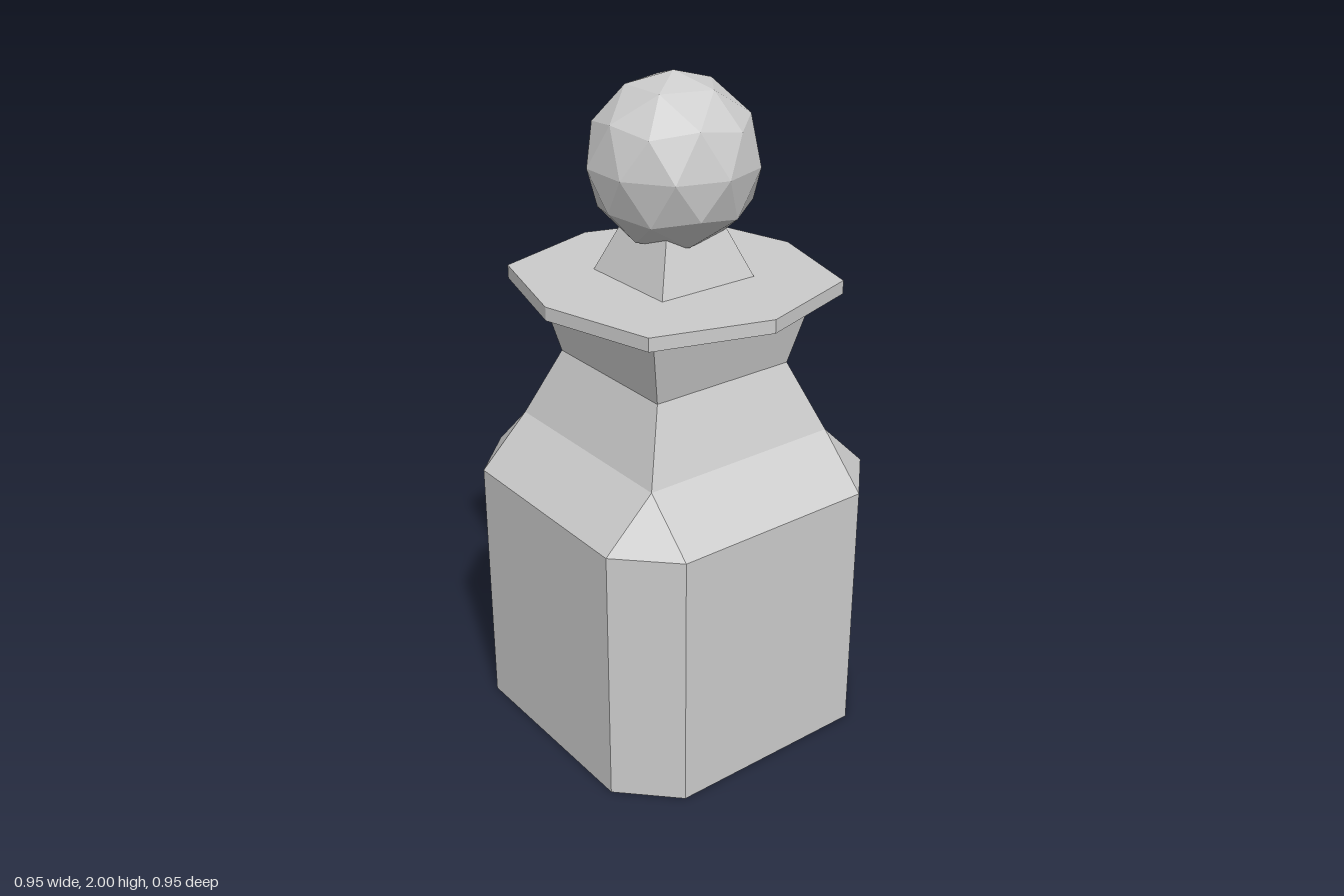
import * as THREE from 'three';

const material = new THREE.MeshStandardMaterial({ color: 0xcccccc, flatShading: true });

// Square ring with chamfered corners: h = half width, c = half length of each flat side
const ring = ([y, h, c]) => [
  [h, c], [c, h], [-c, h], [-h, c], [-h, -c], [-c, -h], [c, -h], [h, -c],
].map(([x, z]) => new THREE.Vector3(x, y, z));

// Joins the rings from bottom to top, with a closed underside
function loft(levels) {
  const rings = levels.map(ring);
  const points = [];
  const triangle = (a, b, c) => {
    const area = b.clone().sub(a).cross(c.clone().sub(a)).length();
    if (area > 1e-8) points.push(a, b, c);
  };
  for (let r = 0; r < rings.length - 1; r++) {
    for (let i = 0; i < 8; i++) {
      const j = (i + 1) % 8;
      const [lo, hi] = [rings[r], rings[r + 1]];
      triangle(lo[i], hi[i], hi[j]);
      triangle(lo[i], hi[j], lo[j]);
    }
  }
  for (let i = 1; i < 7; i++) triangle(rings[0][0], rings[0][i], rings[0][i + 1]);
  const geometry = new THREE.BufferGeometry().setFromPoints(points);
  geometry.computeVertexNormals();
  return geometry;
}

export function createModel() {
  const group = new THREE.Group();
  const add = (name, geometry) => {
    const mesh = new THREE.Mesh(geometry, material);
    mesh.name = name;
    group.add(mesh);
  };

  // Body: chamfered block, sloping shoulders to a square, pinched waist, flared top
  add('body', loft([
    [0, 0.475, 0.32],
    [0.8, 0.475, 0.32],
    [0.95, 0.32, 0.32],
    [1.16, 0.235, 0.235],
    [1.385, 0.287, 0.287],
  ]));

  // Thin eight-sided collar
  const outline = new THREE.Shape([
    [0.435, 0], [0.342, 0.342], [0, 0.446], [-0.342, 0.342],
    [-0.435, 0], [-0.342, -0.342], [0, -0.446], [0.342, -0.342],
  ].map(([x, y]) => new THREE.Vector2(x, y)));
  const collar = new THREE.ExtrudeGeometry(outline, { depth: 0.04, bevelEnabled: false });
  collar.rotateX(-Math.PI / 2).translate(0, 1.38, 0);
  add('collar', collar);

  // Tapered square neck running up into the ball
  const neck = new THREE.CylinderGeometry(0.09 * Math.SQRT2, 0.163 * Math.SQRT2, 0.18, 4);
  neck.rotateY(Math.PI / 4).translate(0, 1.51, 0);
  add('neck', neck);

  // Faceted ball, turned so that one vertex points straight up
  const ball = new THREE.IcosahedronGeometry(0.25, 1);
  ball.rotateZ(-Math.atan(2 / (1 + Math.sqrt(5)))).translate(0, 1.75, 0);
  add('ball', ball);

  return group;
}
